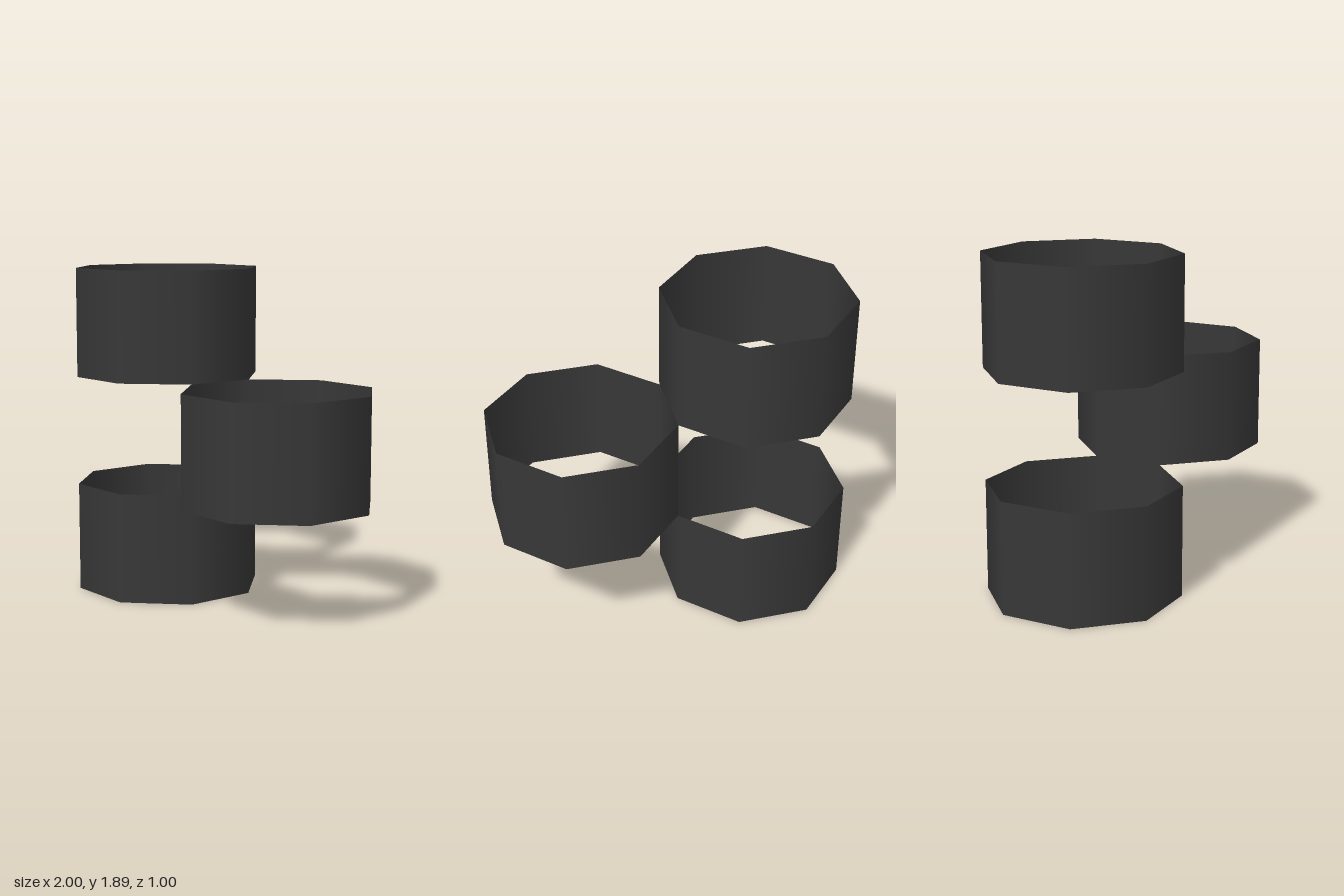
import * as THREE from 'three';

export function createModel() {
  const group = new THREE.Group();
  const charcoal = new THREE.MeshStandardMaterial({ color: 0x383838, side: THREE.DoubleSide });
  charcoal.name = 'charcoal';

  // Open eight-sided ring, flat sides facing the axes, one unit across
  const height = 0.63;
  const radius = 0.5 / Math.cos(Math.PI / 8);
  const ringShape = new THREE.CylinderGeometry(radius, radius, height, 8, 1, true, Math.PI / 8);

  // Three rings stacked in a zigzag
  const rings = [['lowerRing', -0.5], ['middleRing', 0.5], ['upperRing', -0.5]];
  rings.forEach(([name, x], i) => {
    const ring = new THREE.Mesh(ringShape, charcoal);
    ring.name = name;
    ring.position.set(x, height * (i + 0.5), 0);
    group.add(ring);
  });
  return group;
}
